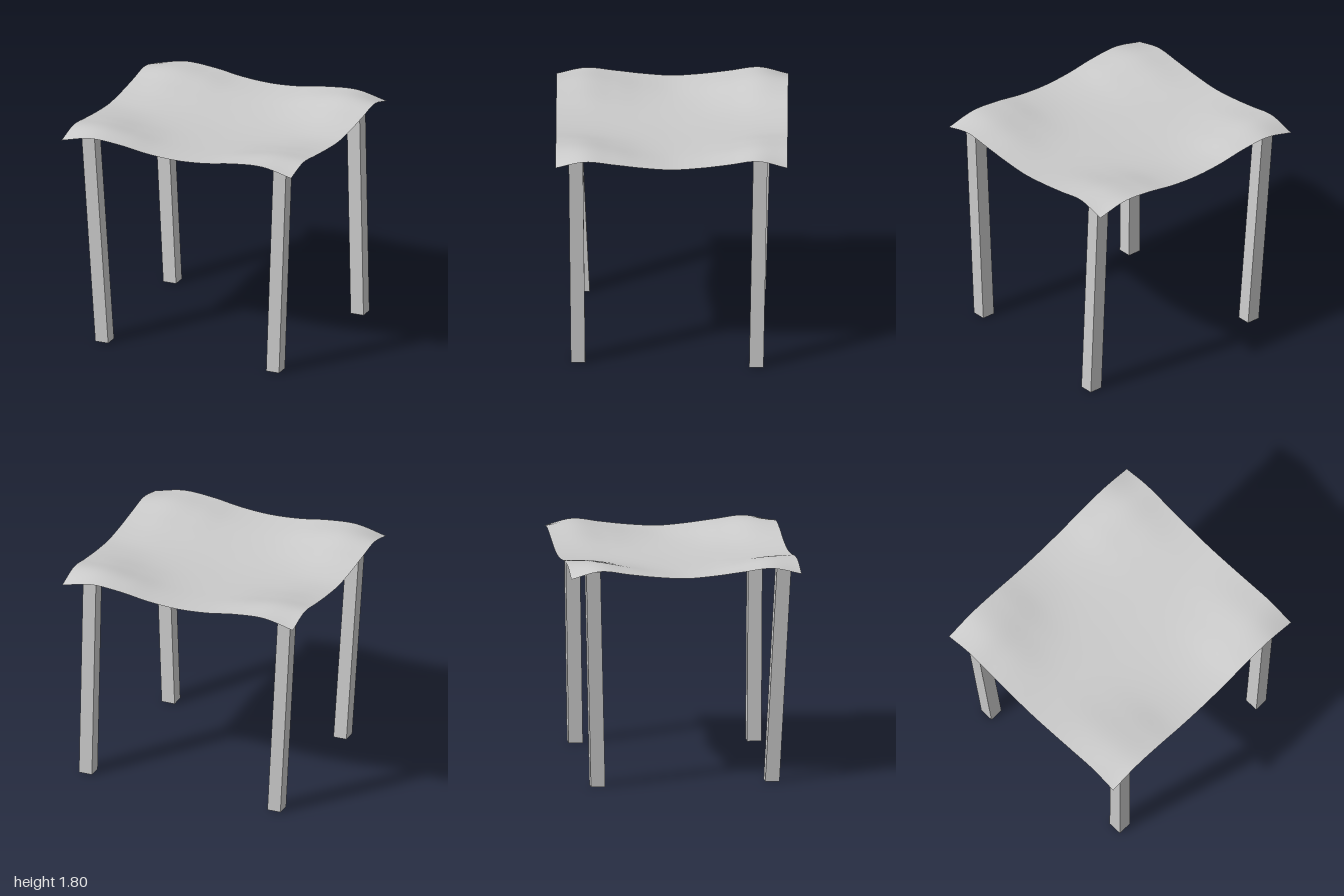
import * as THREE from 'three';

const material = new THREE.MeshStandardMaterial({ color: 0xcccccc });
const clothMaterial = new THREE.MeshStandardMaterial({ color: 0xcccccc, side: THREE.DoubleSide });

// Cloth heights over one quarter: rows run from the middle to the z edge,
// columns from the middle to the x edge.
const HEIGHTS = [
  [1.675, 1.68, 1.69, 1.702, 1.715],
  [1.68, 1.685, 1.70, 1.72, 1.73],
  [1.69, 1.70, 1.73, 1.76, 1.757],
  [1.705, 1.72, 1.765, 1.796, 1.78],
  [1.72, 1.735, 1.772, 1.785, 1.73],
];

// Smooth interpolation of five values, mirrored at 0 and extended past 1
function spline(values, t) {
  const at = (i) => (i < 0 ? values[-i] : i > 4 ? 2 * values[4] - values[3] : values[i]);
  const i = Math.min(3, Math.floor(t * 4));
  const f = t * 4 - i;
  const [a, b, c, d] = [at(i - 1), at(i), at(i + 1), at(i + 2)];
  return b + 0.5 * f * (c - a + f * (2 * a - 5 * b + 4 * c - d + f * (3 * (b - c) + d - a)));
}

function clothHeight(x, z) {
  const u = Math.min(1, Math.abs(x));
  const v = Math.min(1, Math.abs(z) / 0.92);
  const y = spline(HEIGHTS.map((row) => spline(row, u)), v);
  // the rear rises a touch higher over the legs
  const rear = 0.008 * Math.exp(-(((z + 0.68) / 0.18) ** 2)) * u;
  return y + rear;
}

function createCloth() {
  const geometry = new THREE.PlaneGeometry(2, 1.84, 60, 56).rotateX(-Math.PI / 2);
  const p = geometry.attributes.position;
  for (let i = 0; i < p.count; i++) p.setY(i, clothHeight(p.getX(i), p.getZ(i)));
  geometry.computeVertexNormals();
  const cloth = new THREE.Mesh(geometry, clothMaterial);
  cloth.name = 'drapedTop';
  return cloth;
}

// Square leg slanting from its foot centre [x, z] to its top centre [x, z]
function createLeg(name, foot, top) {
  const height = 1.767;
  const geometry = new THREE.BoxGeometry(0.112, height, 0.114).translate(0, height / 2, 0);
  const p = geometry.attributes.position;
  for (let i = 0; i < p.count; i++) {
    const t = p.getY(i) / height;
    p.setX(i, p.getX(i) + THREE.MathUtils.lerp(foot[0], top[0], t));
    p.setZ(i, p.getZ(i) + THREE.MathUtils.lerp(foot[1], top[1], t));
  }
  geometry.computeVertexNormals();
  const leg = new THREE.Mesh(geometry, material);
  leg.name = name;
  return leg;
}

export function createModel() {
  const model = new THREE.Group();
  model.name = 'drapedTable';
  model.add(
    createCloth(),
    createLeg('frontLeftLeg', [0.785, 0.742], [0.855, 0.76]),
    createLeg('frontRightLeg', [-0.717, 0.712], [-0.798, 0.797]),
    createLeg('backLeftLeg', [0.88, -0.673], [0.83, -0.705]),
    createLeg('backRightLeg', [-0.758, -0.685], [-0.87, -0.735]),
  );
  return model;
}
